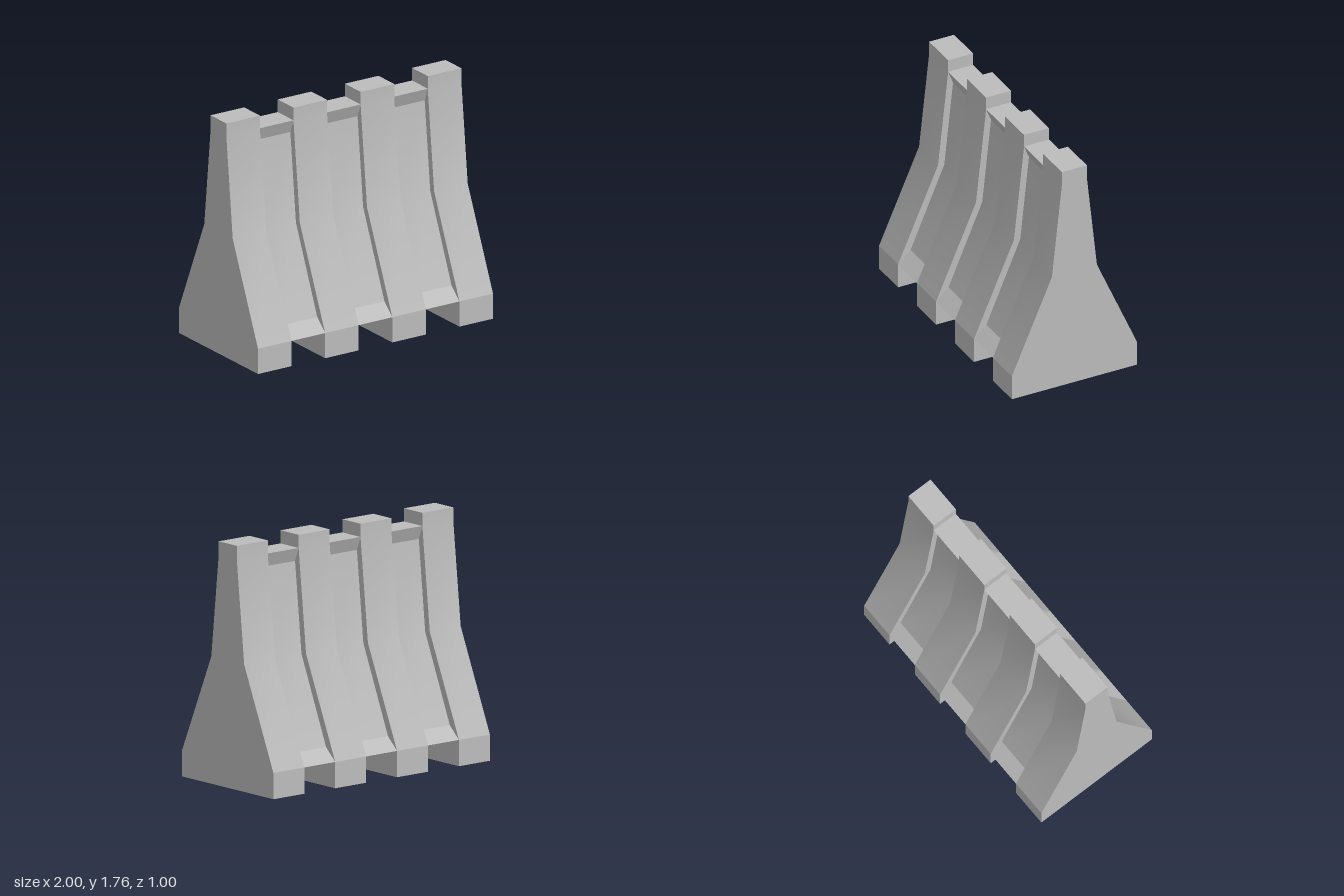
import * as THREE from 'three';
import { toCreasedNormals } from 'three/addons/utils/BufferGeometryUtils.js';

const BAY = 2 / 7; // seven equal bays: ribs and panels alternate

// Extrude a half profile [z, y], mirrored in z, across one bay
function sliceGeometry(half) {
  const mirrored = half.slice().reverse().map(([z, y]) => [-z, y]);
  const shape = new THREE.Shape([...half, ...mirrored].map(([z, y]) => new THREE.Vector2(z, y)));
  const geometry = new THREE.ExtrudeGeometry(shape, { depth: BAY, bevelEnabled: false });
  geometry.translate(0, 0, -BAY / 2).rotateY(Math.PI / 2);
  // gentle bends in the slope are smooth, other edges sharp
  return toCreasedNormals(geometry, THREE.MathUtils.degToRad(20));
}

export function createModel() {
  const group = new THREE.Group();
  group.name = 'concreteBarrier';
  const concrete = new THREE.MeshStandardMaterial({ color: 0xbcbcbc });
  concrete.name = 'concrete grey';

  // Tall ribs that reach the ground as feet
  const rib = sliceGeometry([[0.5, 0], [0.5, 0.19], [0.18, 0.92], [0.1, 1.66], [0.1, 1.765]]);
  // Raised panels, recessed between the ribs, flared at bottom and top
  const panel = sliceGeometry([[0.5, 0.19], [0.4, 0.28], [0.13, 0.91], [0.06, 1.57], [0.1, 1.67]]);

  for (let i = 0; i < 7; i++) {
    const isRib = i % 2 === 0;
    const mesh = new THREE.Mesh(isRib ? rib : panel, concrete);
    mesh.name = (isRib ? 'rib' : 'recessedPanel') + (Math.floor(i / 2) + 1);
    mesh.position.x = (i - 3) * BAY;
    group.add(mesh);
  }
  return group;
}
